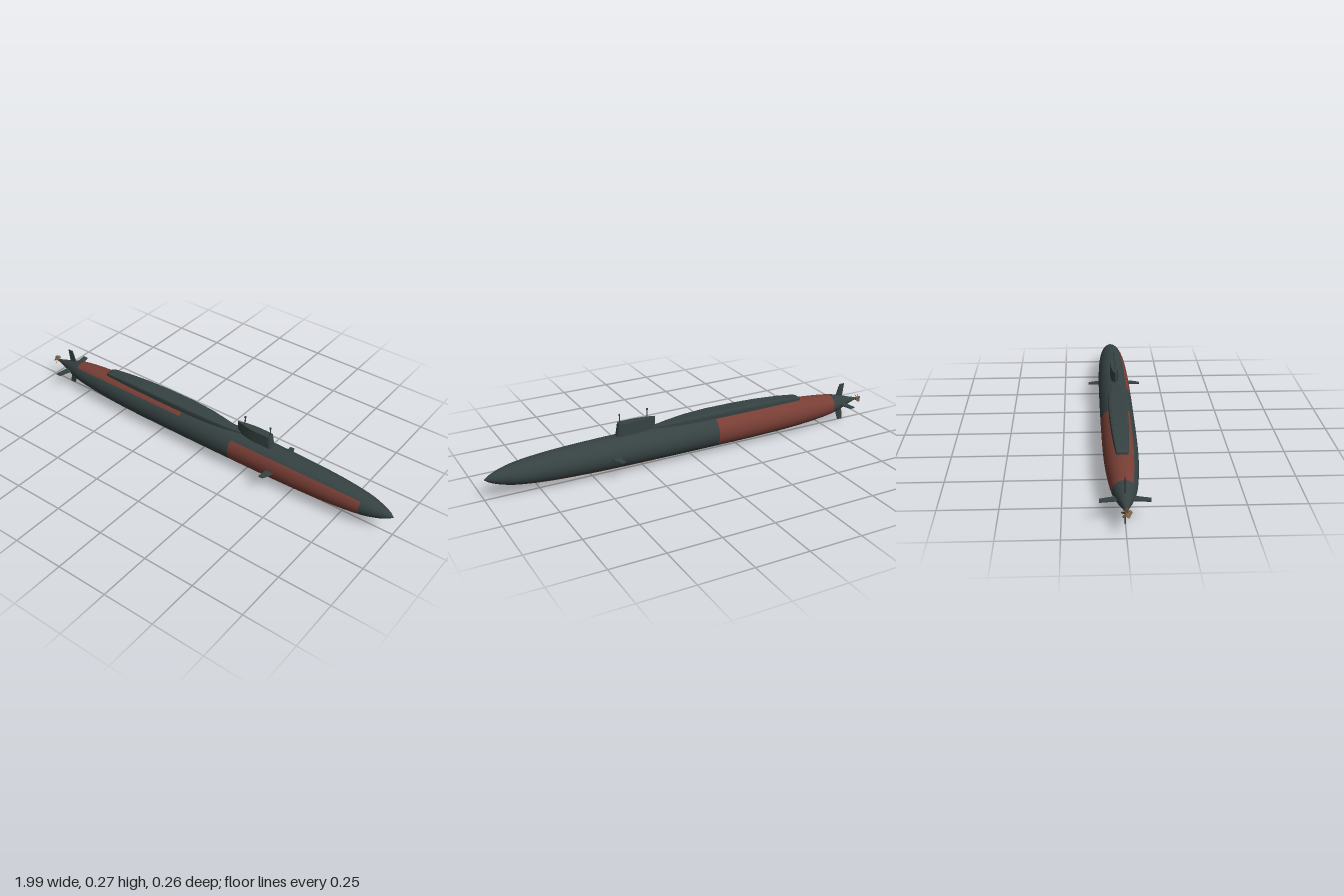
import * as THREE from 'three';

const AXIS = 0.098; // height of the hull centreline

const paint = (name, hex) => {
  const m = new THREE.MeshStandardMaterial({ color: hex });
  m.name = name;
  return m;
};

// Hull radius along x, from stern to bow
const outline = new THREE.SplineCurve([
  [-0.97, 0.004], [-0.92, 0.017], [-0.87, 0.033], [-0.8, 0.05], [-0.7, 0.062], [-0.55, 0.072],
  [-0.35, 0.077], [0, 0.078], [0.3, 0.077], [0.5, 0.074], [0.7, 0.066], [0.85, 0.051],
  [0.93, 0.032], [0.975, 0.014], [0.994, 0.0005],
].map(p => new THREE.Vector2(...p))).getPoints(280);

function hullRadius(x) {
  const i = Math.min(Math.max(outline.findIndex(p => p.x >= x), 1), outline.length - 1);
  const a = outline[i - 1], b = outline[i];
  return a.y + (b.y - a.y) * (x - a.x) / (b.x - a.x);
}

// Part of the hull skin between two stations and over an arc
function hullSkin(x0, x1, start = 0, arc = Math.PI * 2) {
  const n = Math.max(8, Math.ceil((x1 - x0) / 0.025)), pts = [];
  for (let i = 0; i <= n; i++) {
    const x = x0 + (x1 - x0) * i / n;
    pts.push(new THREE.Vector2(hullRadius(x), x));
  }
  return new THREE.LatheGeometry(pts, Math.round(48 * arc / (Math.PI * 2)), start, arc)
    .rotateZ(-Math.PI / 2).translate(0, AXIS, 0);
}

// Thin blade drawn in x and distance from the centreline, turned about x
function blade(points, thick, angle) {
  const g = new THREE.ExtrudeGeometry(new THREE.Shape(points.map(p => new THREE.Vector2(...p))),
    { depth: thick, bevelEnabled: false });
  return g.translate(0, 0, -thick / 2).rotateX(angle).translate(0, AXIS, 0);
}

// Raised deck lofted from stations: x, half width, bottom, top
function deckGeometry() {
  const stations = [
    [-0.605, 0.024, 0.166, 0.177], [-0.59, 0.027, 0.166, 0.182], [-0.5, 0.033, 0.168, 0.191],
    [-0.38, 0.039, 0.17, 0.198], [-0.25, 0.042, 0.171, 0.201], [-0.1, 0.042, 0.171, 0.201],
    [0.02, 0.036, 0.171, 0.197], [0.12, 0.024, 0.17, 0.189], [0.2, 0.01, 0.168, 0.182],
  ];
  const section = [[1, 0], [1, 0.65], [0.94, 0.9], [0.7, 1], [-0.7, 1], [-0.94, 0.9], [-1, 0.65], [-1, 0]];
  const n = section.length, pos = [], idx = [];
  for (const [x, w, b, t] of stations)
    for (const [u, v] of section) pos.push(x, b + (t - b) * v, w * u);
  for (let s = 0; s < stations.length - 1; s++)
    for (let i = 0; i < n; i++) {
      const a = s * n + i, b = s * n + (i + 1) % n;
      idx.push(a, a + n, b, b, a + n, b + n);
    }
  const end = (stations.length - 1) * n;
  for (let i = 1; i < n - 1; i++) idx.push(0, i, i + 1, end, end + i + 1, end + i);
  const g = new THREE.BufferGeometry();
  g.setAttribute('position', new THREE.Float32BufferAttribute(pos, 3));
  g.setIndex(idx);
  const flat = g.toNonIndexed();
  flat.computeVertexNormals();
  return flat;
}

// Tower with a rounded front and a pointed trailing edge
function sailGeometry() {
  const s = new THREE.Shape();
  s.moveTo(0.18, 0);
  s.quadraticCurveTo(0.24, -0.02, 0.29, -0.02);
  s.lineTo(0.36, -0.02);
  s.quadraticCurveTo(0.38, -0.019, 0.38, 0);
  s.quadraticCurveTo(0.38, 0.019, 0.36, 0.02);
  s.lineTo(0.29, 0.02);
  s.quadraticCurveTo(0.24, 0.02, 0.18, 0);
  const g = new THREE.ExtrudeGeometry(s, { depth: 0.072, bevelEnabled: false, curveSegments: 8 });
  g.rotateX(-Math.PI / 2).translate(0, 0.16, 0);
  // lean the front edge aft and narrow the top a little
  const p = g.attributes.position;
  for (let i = 0; i < p.count; i++) {
    if (p.getY(i) < 0.2) continue;
    if (p.getX(i) > 0.35) p.setX(i, p.getX(i) - 0.012);
    p.setZ(i, p.getZ(i) * 0.93);
  }
  g.computeVertexNormals();
  return g;
}

export function createModel() {
  const group = new THREE.Group();
  group.name = 'submarine';
  const hullPaint = paint('dark grey green', 0x364242);
  const redPaint = paint('rust red', 0x783e35);
  const bronze = paint('bronze', 0x806548);
  const add = (name, geometry, material = hullPaint, parent = group) => {
    const mesh = new THREE.Mesh(geometry, material);
    mesh.name = name;
    parent.add(mesh);
    return mesh;
  };

  // Hull, with one red half panel forward and the opposite one aft
  const lower = -Math.PI / 4, upper = Math.PI * 3 / 4;
  add('sternCone', hullSkin(-0.97, -0.8));
  add('aftHull', hullSkin(-0.8, -0.12, lower, Math.PI));
  add('aftRedPanel', hullSkin(-0.8, -0.12, upper, Math.PI), redPaint);
  add('middleHull', hullSkin(-0.12, 0.177));
  add('forwardHull', hullSkin(0.177, 0.85, upper, Math.PI));
  add('forwardRedPanel', hullSkin(0.177, 0.85, lower, Math.PI), redPaint);
  add('bow', hullSkin(0.85, 0.994));

  // Superstructure
  add('raisedDeck', deckGeometry());
  add('sail', sailGeometry());

  // Masts
  for (const [x, headRadius] of [[0.22, 0.005], [0.357, 0.004]]) {
    const mast = new THREE.Group();
    mast.name = 'mast';
    group.add(mast);
    add('mastPole', new THREE.CylinderGeometry(0.0025, 0.0025, 0.045, 10).translate(x, 0.2505, 0), hullPaint, mast);
    add('mastHead', new THREE.CylinderGeometry(headRadius, headRadius, 0.007, 12).translate(x, 0.2725, 0), hullPaint, mast);
  }

  // Four tail fins
  const fin = [[-0.876, 0.02], [-0.825, 0.02], [-0.845, 0.05], [-0.86, 0.096], [-0.886, 0.096]];
  for (let i = 0; i < 4; i++) {
    const reach = i % 2 ? 0.101 : 0.096;
    const pts = fin.map(([x, r]) => [x, r === 0.096 ? reach : r]);
    add(i % 2 ? 'sternPlane' : 'rudder', blade(pts, 0.005, i * Math.PI / 2));
  }

  // Forward diving planes
  for (const side of [1, -1])
    add('bowPlane', blade([[0.392, 0.065], [0.428, 0.065], [0.428, 0.09], [0.41, 0.129], [0.388, 0.129]],
      0.004, side * Math.PI / 2));

  // Propeller
  const propeller = new THREE.Group();
  propeller.name = 'propeller';
  propeller.position.set(-0.979, AXIS, 0);
  group.add(propeller);
  add('hub', new THREE.CylinderGeometry(0.005, 0.003, 0.032, 12).rotateZ(-Math.PI / 2), bronze, propeller);
  for (let i = 0; i < 5; i++) {
    const g = new THREE.CylinderGeometry(0.0095, 0.0095, 0.002, 12).rotateX(Math.PI / 2);
    g.rotateY(0.9).translate(0, 0.0125, 0).rotateX(i * Math.PI * 2 / 5);
    add('propellerBlade', g, bronze, propeller);
  }
  return group;
}
